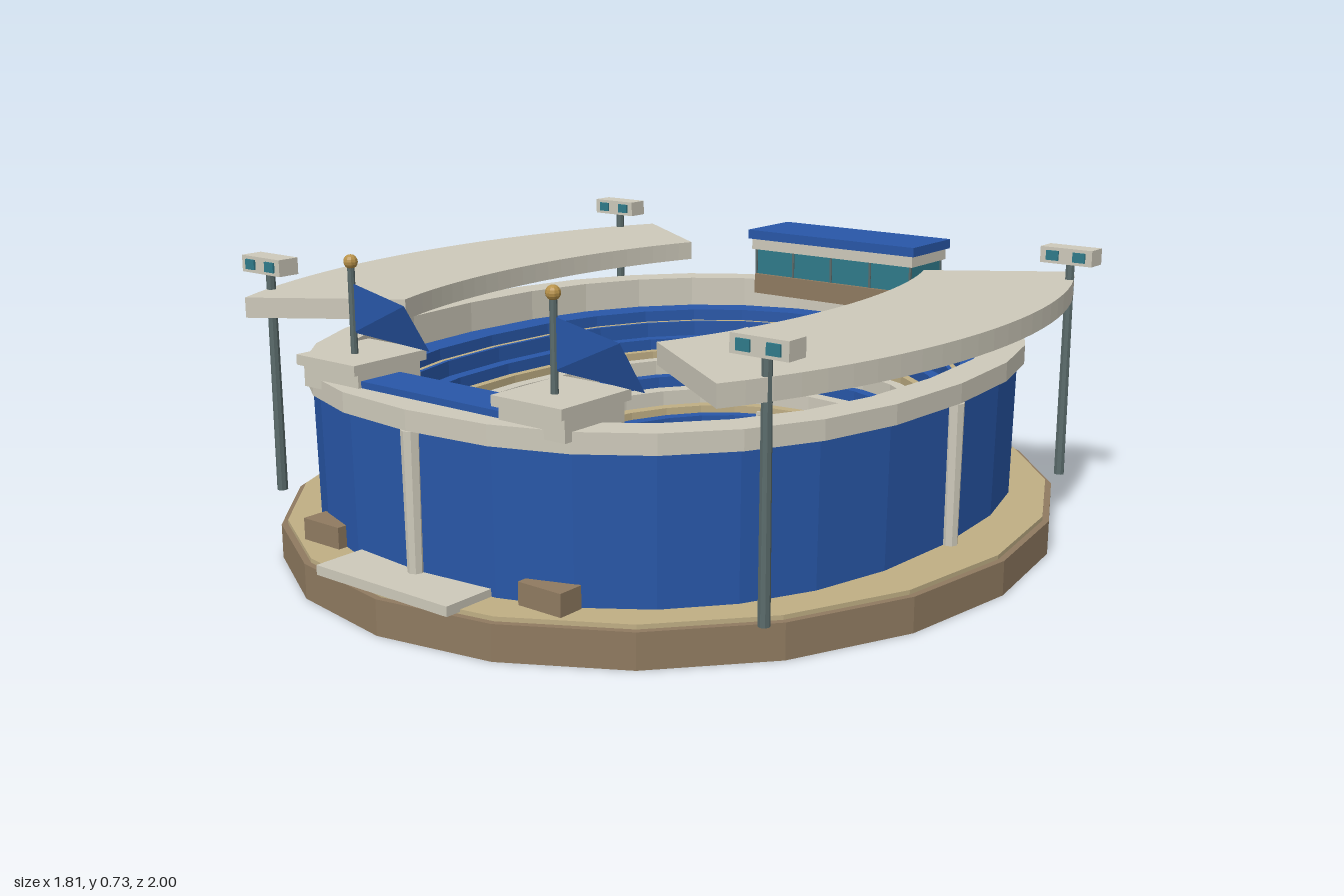
import * as THREE from 'three';

const C = {
  brown: 0x8f7a60, tan: 0xbfae84, white: 0xcdc9ba, blue: 0x2857a8, teal: 0x2f7a8a,
  steel: 0x5a6b6b, light: 0x74934f, dark: 0x5b7d45, gold: 0xb8924a,
};
const mats = {};
for (const k in C) mats[k] = new THREE.MeshStandardMaterial({ color: C[k], flatShading: true });
const twoSided = new THREE.MeshStandardMaterial({ color: C.blue, flatShading: true, side: THREE.DoubleSide });

export function createModel() {
  const root = new THREE.Group();

  const add = (name, geo, color, x = 0, y = 0, z = 0) => {
    const m = new THREE.Mesh(geo, mats[color]);
    m.name = name;
    m.position.set(x, y, z);
    root.add(m);
    return m;
  };
  // Box given by its limits on each axis
  const box = (name, color, x0, x1, y0, y1, z0, z1) =>
    add(name, new THREE.BoxGeometry(x1 - x0, y1 - y0, z1 - z0), color,
      (x0 + x1) / 2, (y0 + y1) / 2, (z0 + z1) / 2);
  const post = (name, color, r0, r1, y0, y1, x, z, n = 8) =>
    add(name, new THREE.CylinderGeometry(r1, r0, y1 - y0, n), color, x, (y0 + y1) / 2, z);

  // Oval plinth with a sandy top
  const plinth = (name, color, rx, rz, y0, y1) => {
    const m = post(name, color, 1, 1, y0, y1, 0, 0, 20);
    m.scale.set(rx, 1, rz);
  };
  plinth('plinth', 'brown', 0.905, 1, 0, 0.08);
  plinth('sandGround', 'tan', 0.89, 0.985, 0.08, 0.09);

  // Stadium bowl: rounded oval rings following a stepped profile
  const SEG = 28;
  const oval = (d, y, i) => {
    const a = (i / SEG) * Math.PI * 2;
    const f = (v) => Math.sign(v) * Math.pow(Math.abs(v), 0.87);
    return [(0.785 - (0.9 - d) * 1.12) * f(Math.sin(a)), y, d * f(Math.cos(a))];
  };
  const ring = (name, color, profile) => {
    const pos = [];
    for (let k = 0; k + 1 < profile.length; k++) {
      for (let i = 0; i < SEG; i++) {
        const [p, q] = [profile[k], profile[k + 1]];
        const a = oval(...p, i), b = oval(...q, i), c = oval(...q, i + 1), d = oval(...p, i + 1);
        pos.push(...a, ...b, ...c, ...a, ...c, ...d);
      }
    }
    const g = new THREE.BufferGeometry();
    g.setAttribute('position', new THREE.Float32BufferAttribute(pos, 3));
    g.computeVertexNormals();
    add(name, g, color);
  };
  ring('pitchBarrier', 'blue', [[0.53, 0.09], [0.53, 0.13], [0.56, 0.13]]);
  ring('lowerStep', 'tan', [[0.56, 0.13], [0.56, 0.15], [0.59, 0.15]]);
  ring('lowerWalkway', 'white', [[0.59, 0.15], [0.59, 0.19], [0.63, 0.19]]);
  ring('middleSeats', 'blue', [[0.63, 0.19], [0.63, 0.22], [0.66, 0.22]]);
  ring('upperWalkway', 'white', [[0.66, 0.22], [0.66, 0.26], [0.69, 0.26]]);
  ring('upperStep', 'tan', [[0.69, 0.26], [0.69, 0.28], [0.71, 0.28]]);
  ring('upperSeats', 'blue', [[0.71, 0.28], [0.71, 0.31], [0.74, 0.31], [0.74, 0.35], [0.75, 0.35]]);
  ring('aisle', 'tan', [[0.75, 0.35], [0.762, 0.35]]);
  ring('topSeats', 'blue', [[0.762, 0.35], [0.762, 0.38], [0.83, 0.38]]);
  ring('rim', 'white', [[0.83, 0.38], [0.83, 0.46], [0.9, 0.46], [0.9, 0.415], [0.885, 0.415]]);
  ring('outerWall', 'blue', [[0.885, 0.415], [0.88, 0.09]]);

  // Four pillars on the outer wall
  for (const [x, z] of [[0, 0.885], [0, -0.885], [0.77, 0], [-0.77, 0]])
    post('pillar', 'white', 0.018, 0.022, 0.09, 0.415, x, z);

  // Striped pitch with centre line and circle
  for (let i = 0; i < 6; i++) {
    const z = -0.486 + i * 0.162;
    box('pitchStripe', i % 2 ? 'dark' : 'light', -0.33, 0.33, 0.09, 0.102, z, z + 0.162);
  }
  box('centreLine', 'white', -0.33, 0.33, 0.102, 0.105, -0.004, 0.004);
  const circle = new THREE.RingGeometry(0.082, 0.092, 8);
  circle.rotateX(-Math.PI / 2);
  add('centreCircle', circle, 'white', 0, 0.106, 0);

  // Goals
  for (const s of [-1, 1]) {
    for (const x of [-0.1, 0.1]) {
      box('goalPost', 'white', x - 0.004, x + 0.004, 0.09, 0.15, s * 0.492 - 0.004, s * 0.492 + 0.004);
      box('goalSide', 'tan', x - 0.003, x + 0.003, 0.144, 0.15, s * 0.51 - 0.018, s * 0.51 + 0.018);
    }
    box('goalBar', 'white', -0.104, 0.104, 0.144, 0.152, s * 0.492 - 0.004, s * 0.492 + 0.004);
  }

  // Curved canopies over the long sides
  for (const s of [-1, 1]) {
    const N = 24, half = 0.645, pts = [];
    for (let i = 0; i <= N; i++) {
      const a = -half + (2 * half * i) / N;
      pts.push(new THREE.Vector2(s * 0.857 * Math.cos(a), 1.26 * Math.sin(a)));
    }
    for (let i = N; i >= 0; i--) {
      const a = -half + (2 * half * i) / N;
      pts.push(new THREE.Vector2(s * 0.467 * Math.cos(a), 0.905 * Math.sin(a)));
    }
    const g = new THREE.ExtrudeGeometry(new THREE.Shape(pts), { depth: 0.048, bevelEnabled: false });
    g.rotateX(Math.PI / 2);
    add('canopy', g, 'white', 0, 0.59, 0);
  }

  // Floodlights at the four corners
  for (const x of [-0.723, 0.723]) {
    for (const z of [-0.65, 0.65]) {
      post('lightMast', 'steel', 0.013, 0.011, 0.09, 0.635, x, z);
      box('lightHead', 'white', x - 0.068, x + 0.068, 0.63, 0.67, z - 0.028, z + 0.028);
      for (const o of [-0.035, 0.035])
        box('lamp', 'teal', x + o - 0.016, x + o + 0.016, 0.638, 0.662, z + 0.02, z + 0.033);
    }
  }

  // Press cabin at the back
  box('cabinBase', 'brown', -0.25, 0.25, 0.44, 0.495, -0.86, -0.68);
  box('cabinGlass', 'teal', -0.25, 0.25, 0.495, 0.565, -0.85, -0.69);
  for (const z of [-0.85, -0.69])
    for (let i = 0; i < 5; i++) {
      const x = -0.25 + i * 0.125;
      box('cabinMullion', 'steel', x - 0.003, x + 0.003, 0.495, 0.565, z - 0.003, z + 0.003);
    }
  box('cabinCeiling', 'white', -0.26, 0.26, 0.565, 0.595, -0.86, -0.68);
  box('cabinRoof', 'blue', -0.268, 0.268, 0.595, 0.62, -0.868, -0.672);

  // Front stand roof, two flag towers and flags
  box('frontStandRoof', 'blue', -0.21, 0.21, 0.38, 0.475, 0.72, 0.832);
  for (const s of [-1, 1]) {
    const cx = s * 0.295;
    box('towerBody', 'white', cx - 0.088, cx + 0.088, 0.44, 0.49, 0.66, 0.84);
    box('towerCap', 'white', cx - 0.094, cx + 0.094, 0.49, 0.513, 0.645, 0.855);
    post('flagPole', 'steel', 0.008, 0.008, 0.3, 0.71, cx, 0.77);
    add('poleBall', new THREE.SphereGeometry(0.016, 10, 8), 'gold', cx, 0.717, 0.77);
    const g = new THREE.BufferGeometry();
    g.setAttribute('position', new THREE.Float32BufferAttribute([
      0, 0.56, 0, 0.215, 0.543, -0.02, 0, 0.67, 0, 0.19, 0.645, 0.025], 3));
    g.setIndex([0, 1, 3, 0, 3, 2]);
    g.computeVertexNormals();
    add('flag', g, 'blue', cx, 0, 0.77).material = twoSided;
    box('gateBlock', 'brown', s * 0.327 - 0.057, s * 0.327 + 0.057, 0.09, 0.14, 0.8, 0.862);
  }

  // Entrance slab
  box('entranceSlab', 'white', -0.195, 0.195, 0.085, 0.107, 0.85, 0.988);

  return root;
}
